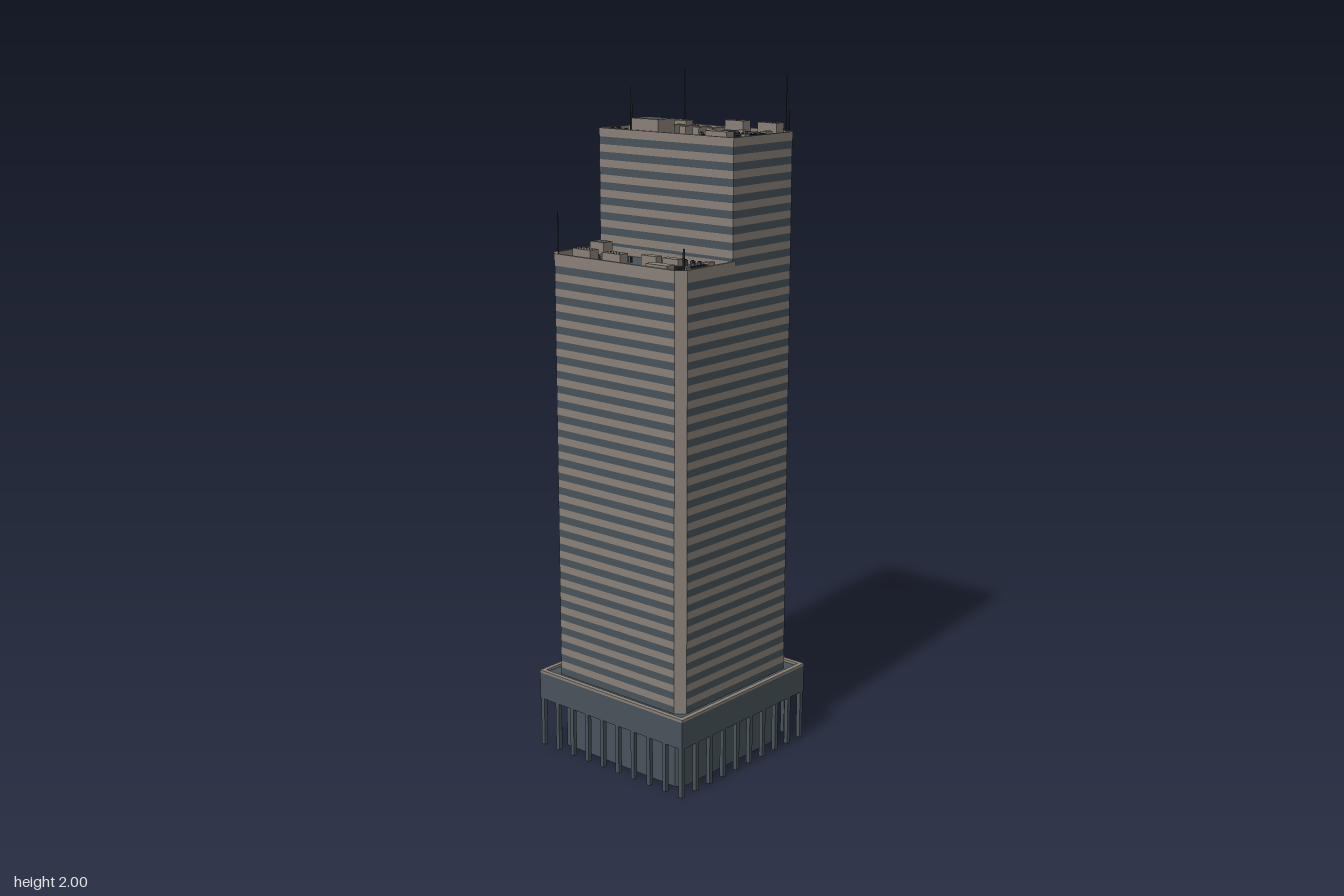
import * as THREE from 'three';
import { mergeGeometries } from 'three/addons/utils/BufferGeometryUtils.js';

const material = (name, color, side = THREE.FrontSide) => {
  const m = new THREE.MeshStandardMaterial({ side });
  m.color.setHex(color);
  m.name = name;
  return m;
};

export function createModel() {
  const stone = material('warm stone', 0x8a8177, THREE.DoubleSide);
  const slate = material('slate glass', 0x47535a, THREE.DoubleSide);
  const dark = material('dark pipe', 0x2b2d2f);
  const model = new THREE.Group();

  const H = 0.25, C = 0.025, STEP_Z = 0.035;
  const BASE = 0.232, TOP = 1.84, FLOORS = 37, LOW_FLOORS = 29;
  const LOW_ROOF = 1.482, HIGH_ROOF = 1.825;

  const add = (name, geos, mat, parent = model) => {
    const mesh = new THREE.Mesh(Array.isArray(geos) ? mergeGeometries(geos) : geos, mat);
    mesh.name = name;
    parent.add(mesh);
    return mesh;
  };
  // Box standing on y, centred on x and z
  const box = (x, y, z, w, h, d) => new THREE.BoxGeometry(w, h, d).translate(x, y + h / 2, z);
  // Upright panel between two plan points, facing right of the direction of travel
  const wall = ([x1, z1], [x2, z2], y0, y1) => {
    const g = new THREE.PlaneGeometry(Math.hypot(x2 - x1, z2 - z1), y1 - y0);
    g.rotateY(Math.atan2(z1 - z2, x2 - x1));
    return g.translate((x1 + x2) / 2, (y0 + y1) / 2, (z1 + z2) / 2);
  };
  // Plan outline with optional chamfers on the front and back corners
  const outline = (h, z0, z1, cBack, cFront) => [
    [-h + cFront, z1], [h - cFront, z1], [h, z1 - cFront], [h, z0 + cBack],
    [h - cBack, z0], [-h + cBack, z0], [-h, z0 + cBack], [-h, z1 - cFront],
  ].filter((p, i, a) => i === 0 || Math.hypot(p[0] - a[i - 1][0], p[1] - a[i - 1][1]) > 1e-6);
  const toPoints = (pts) => pts.map(([x, z]) => new THREE.Vector2(x, -z));
  const prism = (outer, inner, y0, y1) => {
    const s = new THREE.Shape(toPoints(outer));
    if (inner) s.holes.push(new THREE.Path(toPoints(inner)));
    return new THREE.ExtrudeGeometry(s, { depth: y1 - y0, bevelEnabled: false })
      .rotateX(-Math.PI / 2).translate(0, y0, 0);
  };

  // Hollow ground-floor core
  const core = outline(0.237, -0.237, 0.237, 0.02, 0.02);
  add('lobbyCore', core.map((p, i) => wall(p, core[(i + 1) % core.length], 0, 0.15)), slate);

  // Podium with its stone rim
  const square = (h) => outline(h, -h, h, 0, 0).slice(0, 4);
  const quad = (h) => [[-h, h], [h, h], [h, -h], [-h, -h]];
  add('podium', prism(quad(0.283), core, 0.15, BASE), slate);
  add('podiumRim', prism(quad(0.2832), quad(0.269), BASE, 0.24), stone);

  // Colonnade around the podium
  const columns = [];
  for (let i = 0; i < 10; i++) {
    const t = -0.275 + i * 0.0611;
    for (const s of [-0.275, 0.275]) {
      columns.push(box(t, 0, s, 0.013, 0.15, 0.013));
      if (i > 0 && i < 9) columns.push(box(s, 0, t, 0.013, 0.15, 0.013));
    }
  }
  add('columns', columns, slate);

  // Striped facades: a window band and a spandrel band on every floor
  const pitch = (TOP - BASE) / FLOORS, stepY = BASE + pitch * LOW_FLOORS;
  const e = H - C, glass = [], spandrels = [];
  for (let i = 0; i < FLOORS; i++) {
    const low = i < LOW_FLOORS;
    const zf = low ? e : STEP_Z;
    const front = low ? [[-e, H], [e, H]] : [[-H, STEP_Z], [H, STEP_Z]];
    const faces = [front, [[H, zf], [H, -e]], [[e, -H], [-e, -H]], [[-H, -e], [-H, zf]]];
    const y = BASE + i * pitch, mid = y + pitch * 0.5;
    for (const [a, b] of faces) {
      glass.push(wall(a, b, y, mid));
      spandrels.push(wall(a, b, mid, y + pitch));
    }
  }
  add('windowBands', glass, slate);
  add('spandrelBands', spandrels, stone);

  // Chamfered corner piers
  add('cornerPiers', [
    wall([e, H], [H, e], BASE, stepY), wall([-H, e], [-e, H], BASE, stepY),
    wall([H, -e], [e, -H], BASE, TOP), wall([-e, -H], [-H, -e], BASE, TOP),
  ], stone);

  // Roof decks and parapets
  const P = H + 0.0008, I = H - 0.008;
  const lowOut = outline(P, 0.027, P, 0, C), lowIn = outline(I, STEP_Z, I, 0, C - 0.003);
  const highOut = outline(P, -P, STEP_Z + 0.001, C, 0), highIn = outline(I, -I, STEP_Z - 0.007, C - 0.003, 0);
  add('lowerRoof', prism(lowIn, null, LOW_ROOF - 0.005, LOW_ROOF), slate);
  add('upperRoof', prism(highIn, null, HIGH_ROOF - 0.005, HIGH_ROOF), slate);
  add('lowerParapet', prism(lowOut, lowIn, LOW_ROOF - 0.002, 1.505), stone);
  add('upperParapet', prism(highOut, highIn, HIGH_ROOF - 0.002, 1.843), stone);

  // Air handler with ducts, main cabinet at the local origin
  const airHandler = (x, y, z, turn) => {
    const g = new THREE.Group();
    g.name = 'airHandler';
    g.position.set(x, y, z);
    g.rotation.y = turn;
    model.add(g);
    add('cabinets', [
      box(0, 0, 0, 0.077, 0.03, 0.032), box(0.043, 0, -0.154, 0.02, 0.022, 0.027),
      box(0.06, 0, -0.04, 0.016, 0.022, 0.02),
    ], stone, g);
    const pipes = [];
    for (let i = 0; i < 3; i++) {
      const px = -0.06 + i * 0.008, zt = -0.046 + i * 0.008, zb = 0.012 - i * 0.008, h = 0.013 - i * 0.002;
      pipes.push(box(px, h, (zt + zb) / 2, 0.004, 0.004, zb - zt + 0.004));
      pipes.push(box((px - 0.038) / 2, h, zb, -0.038 - px, 0.004, 0.004));
      pipes.push(box((px + 0.045) / 2, h, zt, 0.045 - px, 0.004, 0.004));
    }
    pipes.push(box(-0.012, 0.016, -0.055, 0.09, 0.004, 0.004));
    for (const px of [0.04, 0.047]) pipes.push(box(px, 0.012, -0.085, 0.005, 0.005, 0.115));
    add('ducts', pipes, dark, g);
  };
  airHandler(0.17, HIGH_ROOF, 0, 0);
  airHandler(0.152, LOW_ROOF, 0.225, 0);
  airHandler(-0.162, HIGH_ROOF, -0.217, Math.PI);

  // Rooftop cabinets
  const cabinets = [box(0.119, HIGH_ROOF, -0.162, 0.016, 0.02, 0.01), box(-0.06, LOW_ROOF, 0.147, 0.02, 0.02, 0.01)];
  for (let i = 0; i < 5; i++) cabinets.push(box(-0.142 + i * 0.05, HIGH_ROOF, -0.118, 0.023, 0.026, 0.056));
  for (const x of [0.032, 0.112]) cabinets.push(box(x, LOW_ROOF, 0.126, 0.057, 0.03, 0.024));
  add('rooftopCabinets', cabinets, stone);

  // Chillers with rows of grille holes on top
  const chillers = [], grilles = [];
  for (const [x, y, z] of [[0.054, HIGH_ROOF, -0.222], [0.174, HIGH_ROOF, -0.222],
    [-0.146, LOW_ROOF, 0.206], [-0.032, LOW_ROOF, 0.206]]) {
    chillers.push(box(x, y, z, 0.068, 0.04, 0.034));
    for (let i = 0; i < 6; i++) for (let j = -1; j <= 1; j++)
      grilles.push(box(x - 0.027 + i * 0.0108, y + 0.04, z + j * 0.011, 0.0025, 0.001, 0.0025));
  }
  add('chillers', chillers, stone);
  add('chillerGrilles', grilles, dark);

  // Plant rooms: stone walls with recessed slate lids
  for (const [x, y, z, w, h, d] of [[-0.085, HIGH_ROOF, -0.012, 0.102, 0.05, 0.069],
    [-0.208, LOW_ROOF, 0.076, 0.054, 0.04, 0.038]]) {
    add('plantRoom', box(x, y, z, w, h, d), stone);
    add('plantRoomLid', box(x, y + h, z, w - 0.004, 0.001, d - 0.004), slate);
  }

  // Long service trough in four sections
  const trough = [];
  for (let i = 0; i < 4; i++) trough.push(box(-0.058 + i * 0.0695, HIGH_ROOF, -0.186, 0.068, 0.014, 0.012));
  add('serviceTrough', trough, slate);

  // Small vents with dark caps
  const vents = [], caps = [];
  const vent = (y) => ([x, z]) => {
    vents.push(box(x, y, z, 0.011, 0.016, 0.011));
    caps.push(box(x, y + 0.016, z, 0.007, 0.002, 0.007));
  };
  [[0.088, -0.102], [0.088, -0.077], [0.088, -0.05], [0.063, -0.05],
    [-0.228, -0.023], [-0.228, 0.002], [-0.203, 0.002], [-0.176, 0.002]].forEach(vent(HIGH_ROOF));
  [[0.101, 0.061], [0.128, 0.061], [0.153, 0.061], [0.153, 0.086],
    [-0.154, 0.1], [-0.154, 0.125], [-0.154, 0.15], [-0.179, 0.15]].forEach(vent(LOW_ROOF));
  for (let i = 0; i < 6; i++) {
    caps.push(box(0.119 + i * 0.014, HIGH_ROOF, -0.131, 0.005, 0.016, 0.005));
    caps.push(box(-0.129 + i * 0.015, LOW_ROOF, 0.116, 0.005, 0.016, 0.005));
  }
  add('vents', vents, slate);
  add('ventCaps', caps, dark);

  // Antenna masts: [x, z, foot, top, radius]
  add('antennas', [
    [0.222, -0.232, HIGH_ROOF, 2, 0.0015], [-0.155, -0.232, HIGH_ROOF, 2, 0.0015],
    [-0.188, -0.037, HIGH_ROOF, 1.91, 0.003], [-0.188, -0.03, HIGH_ROOF, 1.96, 0.0012],
    [0.24, -0.223, HIGH_ROOF, 1.9, 0.002], [0.23, 0.217, LOW_ROOF, 1.56, 0.003],
    [-0.235, 0.225, LOW_ROOF, 1.62, 0.0015],
  ].map(([x, z, y0, y1, r]) => new THREE.CylinderGeometry(r, r, y1 - y0, 6).translate(x, (y0 + y1) / 2, z)), dark);

  return model;
}
